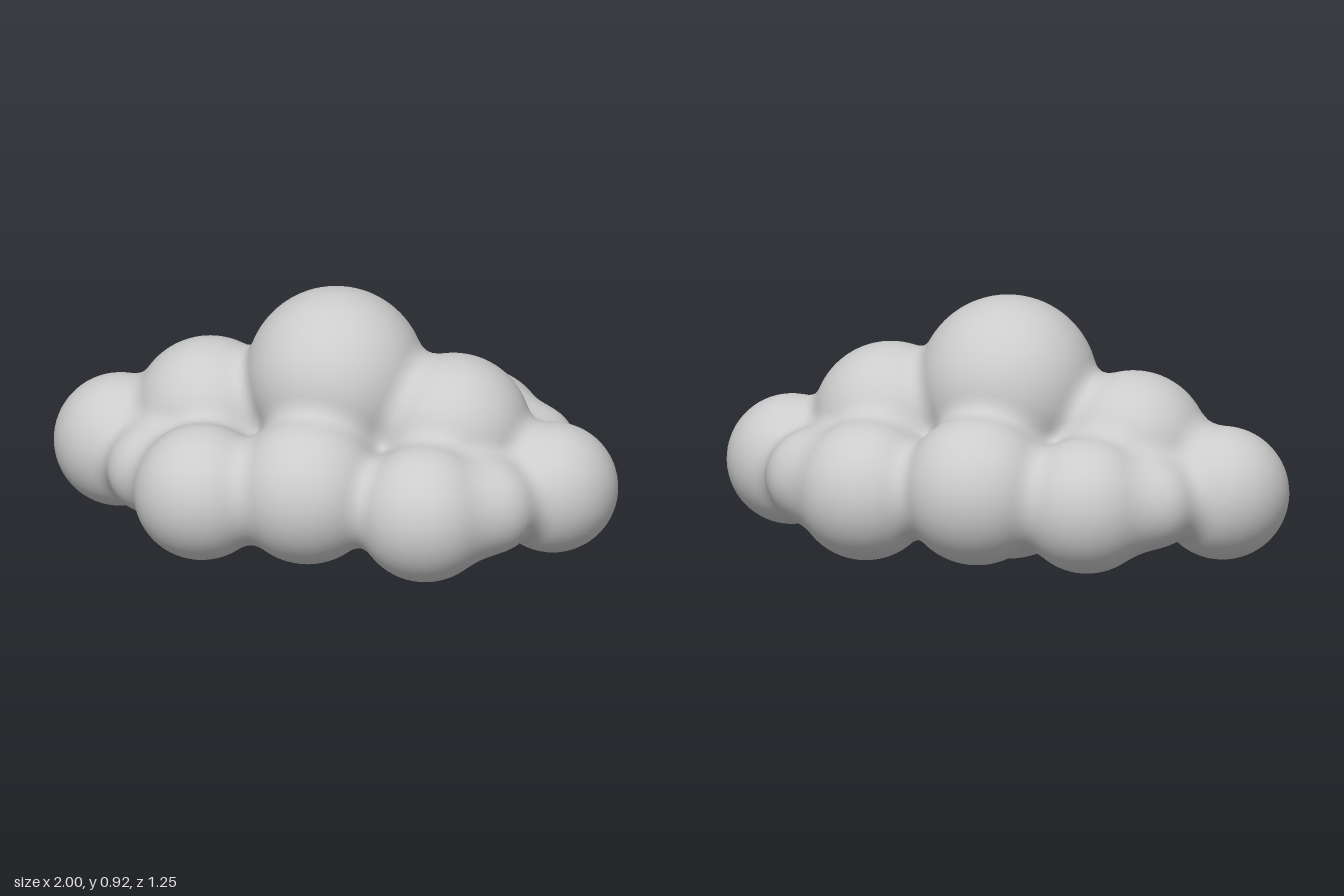
import * as THREE from 'three';

// Puffs of the cloud: x, y, z, radius
const PUFFS = [
  [0, 0.615, 0, 0.31],        // crown
  [0, 0.305, 0, 0.30],        // belly
  [-0.45, 0.43, 0, 0.262],    // shoulders
  [0.42, 0.46, 0, 0.268],
  [-0.77, 0.29, 0, 0.23],     // ends
  [0.775, 0.29, 0, 0.225],
  [-0.37, 0.298, 0.387, 0.235], // front row
  [0, 0.335, 0.358, 0.255],
  [0.42, 0.298, 0.357, 0.238],
  [-0.38, 0.298, -0.32, 0.235], // back row
  [0, 0.335, -0.37, 0.258],
  [0.41, 0.295, -0.335, 0.242],
  [-0.59, 0.3, 0.24, 0.155],  // small corner puffs
  [-0.59, 0.3, -0.24, 0.155],
  [0.62, 0.305, 0.255, 0.165],
  [0.62, 0.305, -0.255, 0.165],
];
const BLEND = 0.075;
const CELL = 0.022;

// Distance to the softly merged puffs
function distance(x, y, z) {
  let d = 10;
  for (const [px, py, pz, r] of PUFFS) {
    const s = Math.hypot(x - px, y - py, z - pz) - r;
    const h = Math.max(BLEND - Math.abs(d - s), 0);
    d = Math.min(d, s) - h * h / (4 * BLEND);
  }
  return d;
}

function gradient(p) {
  const e = 0.002;
  return new THREE.Vector3(
    distance(p.x + e, p.y, p.z) - distance(p.x - e, p.y, p.z),
    distance(p.x, p.y + e, p.z) - distance(p.x, p.y - e, p.z),
    distance(p.x, p.y, p.z + e) - distance(p.x, p.y, p.z - e)
  ).divideScalar(2 * e);
}

// Skin the merged puffs: one vertex per crossed grid cell, one quad per crossed grid edge
function cloudGeometry() {
  const origin = [-1.08, -0.08, -0.72];
  const size = [2.16, 1.1, 1.44].map((s) => Math.ceil(s / CELL));
  const strides = [1, size[0], size[0] * size[1]];
  const field = new Float32Array(size[0] * size[1] * size[2]);
  const at = (i, axis) => origin[axis] + i * CELL;
  for (let k = 0, n = 0; k < size[2]; k++)
    for (let j = 0; j < size[1]; j++)
      for (let i = 0; i < size[0]; i++) field[n++] = distance(at(i, 0), at(j, 1), at(k, 2));

  const positions = [], normals = [], indices = [], cells = new Map();
  const vertex = (cell) => {
    if (cells.has(cell)) return cells.get(cell);
    const i = cell % size[0];
    const j = Math.floor(cell / size[0]) % size[1];
    const k = Math.floor(cell / strides[2]);
    const p = new THREE.Vector3(at(i + 0.5, 0), at(j + 0.5, 1), at(k + 0.5, 2));
    // Slide the cell centre onto the surface
    for (let step = 0; step < 4; step++) {
      const g = gradient(p);
      p.addScaledVector(g, -distance(p.x, p.y, p.z) / Math.max(g.lengthSq(), 0.2));
    }
    const index = positions.length / 3;
    positions.push(p.x, p.y, p.z);
    normals.push(...gradient(p).normalize().toArray());
    cells.set(cell, index);
    return index;
  };

  for (let k = 1; k < size[2] - 1; k++)
    for (let j = 1; j < size[1] - 1; j++)
      for (let i = 1; i < size[0] - 1; i++) {
        const n = i + j * strides[1] + k * strides[2];
        for (let axis = 0; axis < 3; axis++) {
          const inside = field[n] < 0;
          if (inside === field[n + strides[axis]] < 0) continue;
          const b = strides[(axis + 1) % 3], c = strides[(axis + 2) % 3];
          const quad = [n - b - c, n - c, n, n - b].map(vertex);
          if (!inside) quad.reverse();
          indices.push(quad[0], quad[1], quad[2], quad[0], quad[2], quad[3]);
        }
      }

  const geometry = new THREE.BufferGeometry();
  geometry.setAttribute('position', new THREE.Float32BufferAttribute(positions, 3));
  geometry.setAttribute('normal', new THREE.Float32BufferAttribute(normals, 3));
  geometry.setIndex(indices);
  return geometry;
}

export function createModel() {
  const group = new THREE.Group();
  group.name = 'cloud';
  const cloudGrey = new THREE.MeshStandardMaterial({ color: 0xcccccc });
  cloudGrey.name = 'cloudGrey';
  const body = new THREE.Mesh(cloudGeometry(), cloudGrey);
  body.name = 'cloudBody';
  group.add(body);
  return group;
}
